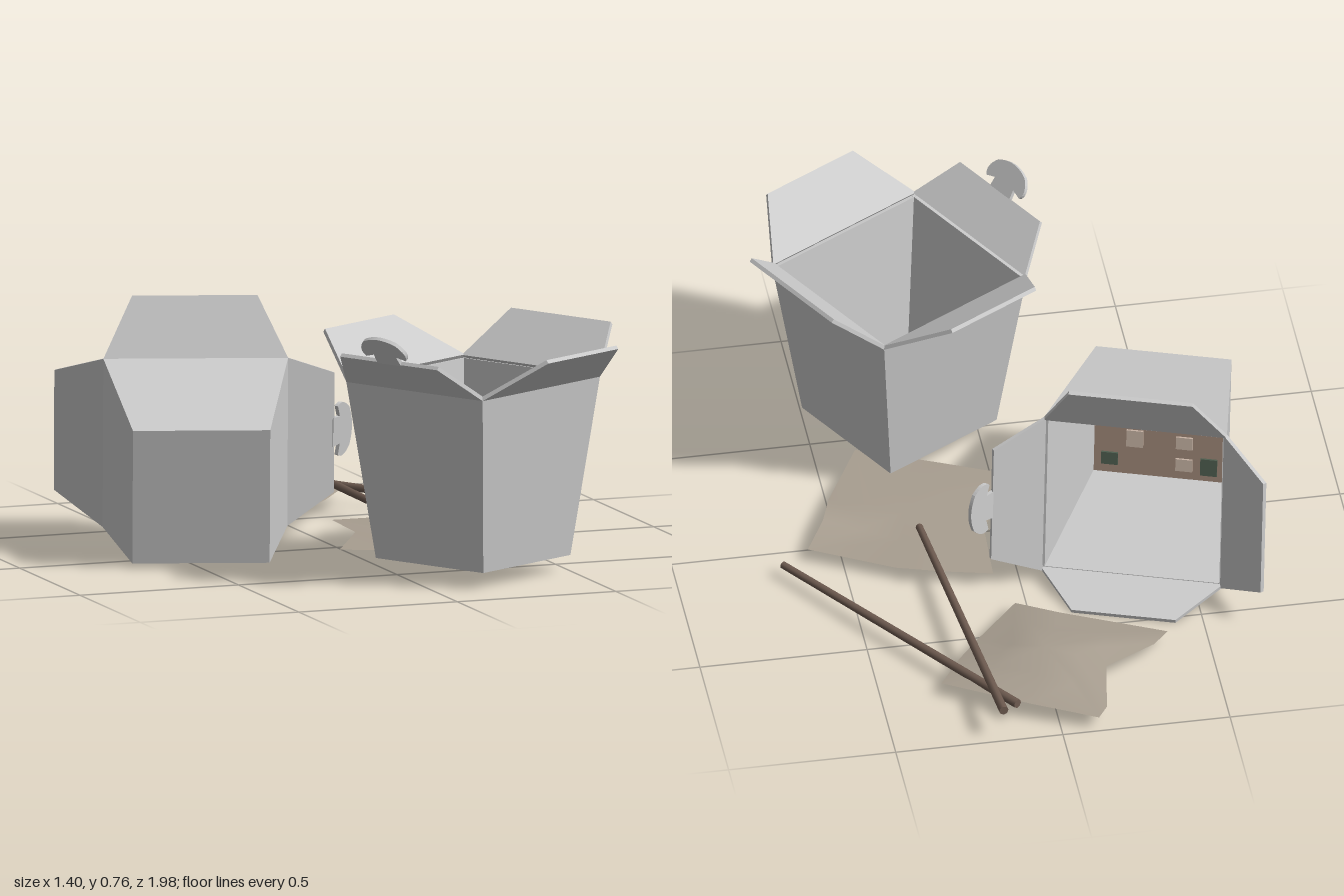
import * as THREE from 'three';

const T = 0.012; // card thickness
const H = 0.53; // carton height
const BASE = [0.405, 0.41]; // floor size along x, z
const RIM = [0.545, 0.52]; // rim size along x, z

const material = (color, side = THREE.FrontSide) =>
  new THREE.MeshStandardMaterial({ color, side });
const card = material(0xcccccc);
const foodBrown = material(0xa08878);
const foodGreen = material(0x4f5f50);
const foodPale = material(0xc9b5a6);
const wood = material(0x6e5b50);
const paper = material(0xa89e90, THREE.DoubleSide);

function add(parent, name, geometry, mat) {
  const mesh = new THREE.Mesh(geometry, mat);
  mesh.name = name;
  parent.add(mesh);
  return mesh;
}

// Flat card sheet whose outer face lies on z = 0
function sheet(shape) {
  const g = new THREE.ExtrudeGeometry(shape, { depth: T, bevelEnabled: false, curveSegments: 8 });
  return g.translate(0, 0, -T);
}

function trapezoid(bottom, top, height) {
  return new THREE.Shape([
    new THREE.Vector2(-bottom / 2, 0), new THREE.Vector2(bottom / 2, 0),
    new THREE.Vector2(top / 2, height), new THREE.Vector2(-top / 2, height),
  ]);
}

// Locking tab: narrow neck with a wide rounded head
function tabShape() {
  const s = new THREE.Shape();
  s.moveTo(-0.045, -0.005);
  s.lineTo(0.045, -0.005);
  s.lineTo(0.042, 0.03);
  s.lineTo(0.075, 0.02);
  s.quadraticCurveTo(0.095, 0.045, 0.06, 0.08);
  s.quadraticCurveTo(0.03, 0.095, 0, 0.095);
  s.quadraticCurveTo(-0.03, 0.095, -0.06, 0.08);
  s.quadraticCurveTo(-0.095, 0.045, -0.075, 0.02);
  s.lineTo(-0.042, 0.03);
  s.closePath();
  return s;
}

// flaps: [outward reach, upward reach, outer width] for front, right, back, left
function carton(name, flaps) {
  const box = new THREE.Group();
  box.name = name;
  add(box, 'cartonFloor', new THREE.BoxGeometry(BASE[0], T, BASE[1]).translate(0, T / 2, 0), card);

  flaps.forEach(([out, up, width], k) => {
    const side = new THREE.Group();
    side.name = ['frontSide', 'rightSide', 'backSide', 'leftSide'][k];
    side.rotation.y = k * Math.PI / 2;
    box.add(side);
    const along = k % 2, across = 1 - along;
    const lean = (RIM[across] - BASE[across]) / 2;

    const wall = add(side, 'wall', sheet(trapezoid(BASE[along], RIM[along], Math.hypot(lean, H))), card);
    wall.position.z = BASE[across] / 2;
    wall.rotation.x = Math.atan2(lean, H);

    const flap = add(side, 'flap', sheet(trapezoid(RIM[along], width, Math.hypot(out, up))), card);
    flap.position.set(0, H, RIM[across] / 2);
    flap.rotation.x = Math.atan2(out, up);

    if (k === 3) {
      const tab = add(side, 'lockingTab', sheet(tabShape()), card);
      tab.position.set(0, H + up, RIM[across] / 2 + out);
      tab.rotation.x = 0.62;
    }
  });

  // Food layer with chopped pieces on a grid
  add(box, 'food', new THREE.BoxGeometry(0.395, 0.02, 0.395).translate(0, 0.025, 0), foodBrown);
  for (let i = 0; i < 5; i++) {
    for (let j = 0; j < 5; j++) {
      const pick = (i * 3 + j * 5 + i * j) % 4;
      if (pick > 1) continue;
      const piece = add(box, 'foodPiece', new THREE.BoxGeometry(0.05, 0.012, 0.04 + 0.015 * (i % 3)),
        pick ? foodPale : foodGreen);
      piece.position.set((i - 2) * 0.074, 0.036, (j - 2) * 0.074);
    }
  }
  return box;
}

// Crumpled sheet: outline [x, y, z], an inner ring and a raised centre
function napkin(parent, name, outline, centre, fold) {
  const n = outline.length;
  const pos = [], index = [];
  outline.forEach((p) => pos.push(...p));
  outline.forEach((p, i) => {
    pos.push(
      centre[0] + (p[0] - centre[0]) * 0.5,
      (centre[1] + p[1]) / 2 + (i % 2 ? fold : -fold),
      centre[2] + (p[2] - centre[2]) * 0.5);
  });
  pos.push(...centre);
  for (let i = 0; i < n; i++) {
    const j = (i + 1) % n;
    index.push(i, n + i, j, j, n + i, n + j, n + i, 2 * n, n + j);
  }
  const g = new THREE.BufferGeometry();
  g.setAttribute('position', new THREE.Float32BufferAttribute(pos, 3));
  g.setIndex(index);
  g.computeVertexNormals();
  return add(parent, name, g, paper);
}

function chopstick(parent, from, to) {
  const a = new THREE.Vector3(...from), b = new THREE.Vector3(...to);
  const stick = add(parent, 'chopstick', new THREE.CylinderGeometry(0.011, 0.014, a.distanceTo(b), 8), wood);
  stick.position.copy(a).lerp(b, 0.5);
  stick.quaternion.setFromUnitVectors(new THREE.Vector3(0, 1, 0), b.sub(a).normalize());
}

export function createModel() {
  const model = new THREE.Group();
  model.name = 'takeawayMeal';

  // Standing carton
  const standing = carton('standingCarton',
    [[0.16, 0.115, 0.325], [0.143, 0.13, 0.38], [0.18, 0.115, 0.32], [0.12, 0.1, 0.37]]);
  standing.position.set(0.225, 0.06, 0.54);
  standing.rotation.y = 0.52;
  model.add(standing);

  // Carton tipped onto one wall, opening to the back
  const tipped = carton('tippedCarton',
    [[0.05, 0.15, 0.31], [0.14, 0.13, 0.37], [0.16, 0.11, 0.37], [0.14, 0.09, 0.37]]);
  const yaw = 0.33, tilt = 0.136;
  const across = new THREE.Vector3(-Math.cos(yaw), 0, -Math.sin(yaw));
  const axis = new THREE.Vector3(Math.sin(yaw) * Math.cos(tilt), Math.sin(tilt), -Math.cos(yaw) * Math.cos(tilt));
  const down = new THREE.Vector3().crossVectors(across, axis);
  tipped.quaternion.setFromRotationMatrix(new THREE.Matrix4().makeBasis(across, axis, down));
  tipped.position.set(-0.503, 0.228, 0.2);
  model.add(tipped);

  // Napkins
  napkin(model, 'backNapkin', [
    [-0.11, 0.055, -0.99], [0.08, 0.07, -0.91], [0.32, 0.055, -0.75], [0.25, 0.06, -0.65],
    [0.18, 0.055, -0.56], [0.04, 0.05, -0.4], [-0.08, 0.06, -0.48], [-0.38, 0.05, -0.61],
    [-0.33, 0.055, -0.67], [-0.17, 0.07, -0.77], [-0.14, 0.06, -0.95],
  ], [0, 0.105, -0.69], 0.006);
  napkin(model, 'frontNapkin', [
    [0.08, 0.05, -0.25], [0.23, 0.055, -0.22], [0.36, 0.055, -0.18], [0.6, 0.055, -0.05],
    [0.54, 0.085, 0.04], [0.5, 0.06, 0.17], [0.38, 0.045, 0.41], [0.15, 0.045, 0.31],
    [-0.07, 0.045, 0.21], [0.07, 0.05, -0.03],
  ], [0.28, 0.056, 0.08], 0.004);

  // Crossed chopsticks
  chopstick(model, [0.175, 0.118, -0.99], [0.26, 0.065, -0.01]);
  chopstick(model, [0.12, 0.075, -0.91], [0.685, 0.055, -0.11]);
  return model;
}
